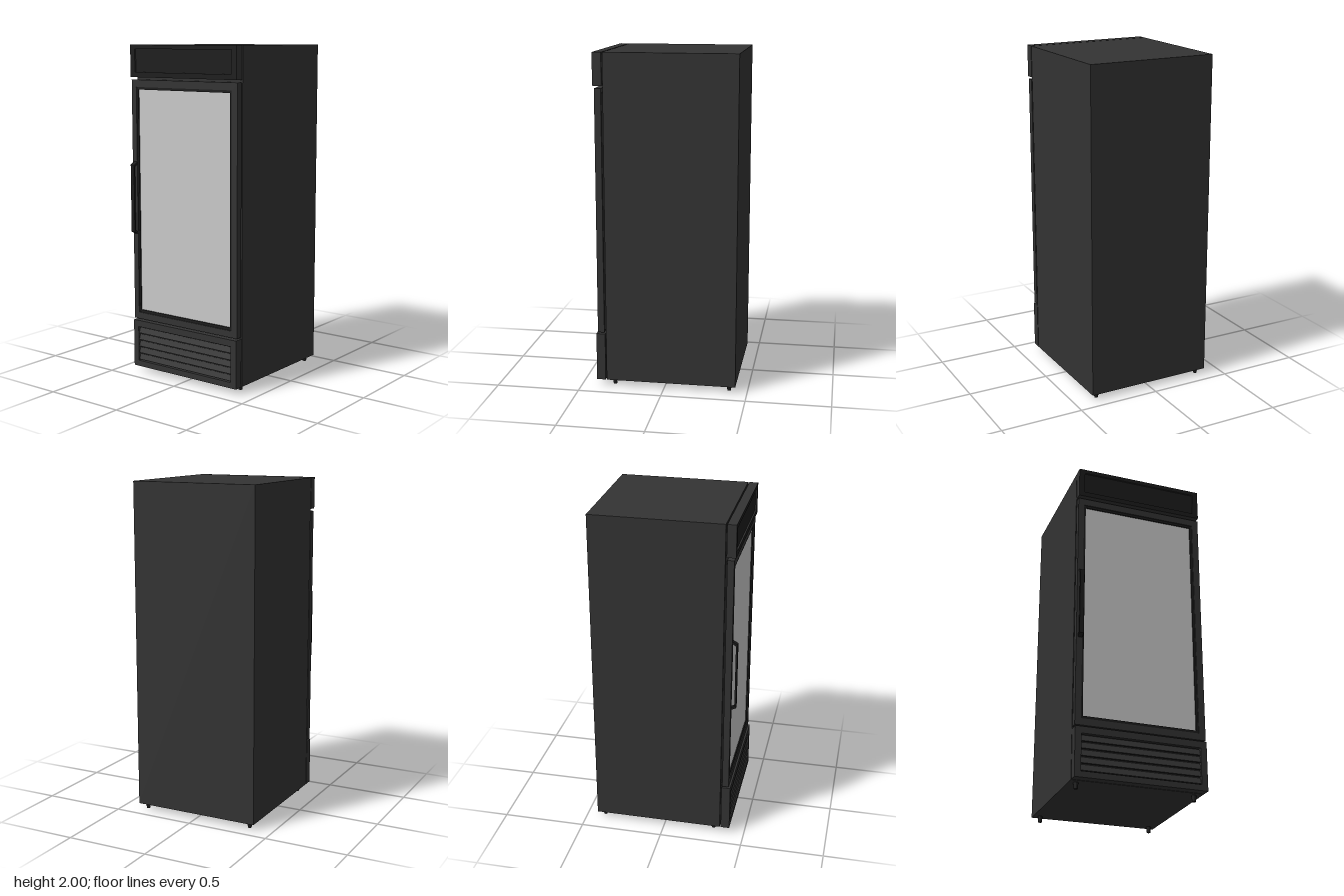
import * as THREE from 'three';

const mat = (name, color) => {
  const m = new THREE.MeshStandardMaterial({ color });
  m.name = name;
  return m;
};

export function createModel() {
  const body = mat('charcoal body', 0x333333);
  const trim = mat('black trim', 0x1c1c1c);
  const glass = mat('pale glass', 0xcacaca);
  const root = new THREE.Group();
  root.name = 'displayFridge';

  const add = (name, geometry, material, parent = root) => {
    const mesh = new THREE.Mesh(geometry, material);
    mesh.name = name;
    parent.add(mesh);
    return mesh;
  };
  // Box given by its limits on each axis
  const box = (name, [x0, x1], [y0, y1], [z0, z1], material, parent) => {
    const m = add(name, new THREE.BoxGeometry(x1 - x0, y1 - y0, z1 - z0), material, parent);
    m.position.set((x0 + x1) / 2, (y0 + y1) / 2, (z0 + z1) / 2);
    return m;
  };
  const rect = (P, [x0, x1], [y0, y1]) => {
    const p = new P();
    p.moveTo(x0, y0);
    p.lineTo(x1, y0);
    p.lineTo(x1, y1);
    p.lineTo(x0, y1);
    p.closePath();
    return p;
  };
  // Rectangular frame with an opening; materials are [faces, edges]
  const frame = (name, ox, oy, ix, iy, [z0, z1], materials, parent) => {
    const s = rect(THREE.Shape, ox, oy);
    s.holes.push(rect(THREE.Path, ix, iy));
    const g = new THREE.ExtrudeGeometry(s, { depth: z1 - z0, bevelEnabled: false });
    g.translate(0, 0, z0);
    return add(name, g, materials, parent);
  };

  const W = [-0.39, 0.39];

  // Cabinet and the inset strips that join the front parts to it
  box('cabinet', W, [0.035, 2], [-0.43, 0.35], body);
  box('headerJoint', [-0.38, 0.38], [1.82, 1.99], [0.35, 0.357], trim);
  box('doorGasket', [-0.38, 0.38], [0.35, 1.77], [0.35, 0.361], trim);
  box('grilleJoint', [-0.38, 0.38], [0.045, 0.315], [0.35, 0.357], trim);

  // Header with a shallow recessed panel
  const header = new THREE.Group();
  header.name = 'header';
  root.add(header);
  box('headerBack', W, [1.81, 2], [0.357, 0.395], body, header);
  frame('headerFrame', W, [1.81, 2], [-0.355, 0.355], [1.84, 1.975], [0.395, 0.41], [trim, body], header);
  box('headerPanel', [-0.355, 0.355], [1.84, 1.975], [0.395, 0.401], trim, header);

  // Door: slab, outer frame, dark inner bezel and glass
  const door = new THREE.Group();
  door.name = 'door';
  root.add(door);
  box('doorSlab', W, [0.335, 1.795], [0.361, 0.38], body, door);
  frame('doorFrame', W, [0.335, 1.795], [-0.355, 0.35], [0.375, 1.752], [0.38, 0.4], [body, body], door);
  frame('doorBezel', [-0.355, 0.35], [0.375, 1.752], [-0.343, 0.336], [0.392, 1.737], [0.38, 0.395], [trim, trim], door);
  box('doorGlass', [-0.343, 0.336], [0.392, 1.737], [0.38, 0.388], glass, door);

  // Handle: bent bar drawn in profile, extruded across x
  const h = new THREE.Shape();
  [[0.4, 0.865], [0.43, 0.88], [0.43, 1.288], [0.4, 1.305], [0.4, 1.29],
    [0.42, 1.278], [0.42, 0.89], [0.4, 0.88]].forEach(([z, y], i) => (i ? h.lineTo(-z, y) : h.moveTo(-z, y)));
  h.closePath();
  const handle = new THREE.ExtrudeGeometry(h, { depth: 0.026, bevelEnabled: false });
  handle.rotateY(Math.PI / 2);
  handle.translate(-0.381, 0, 0);
  add('doorHandle', handle, trim, door);

  // Lower panel with louvres
  const grille = new THREE.Group();
  grille.name = 'grille';
  root.add(grille);
  box('grilleBack', W, [0.035, 0.325], [0.357, 0.385], body, grille);
  frame('grilleFrame', W, [0.035, 0.325], [-0.353, 0.353], [0.07, 0.285], [0.385, 0.41], [body, body], grille);
  box('grilleRecess', [-0.353, 0.353], [0.07, 0.285], [0.385, 0.388], trim, grille);
  for (let i = 0; i < 5; i++) {
    const y = 0.092 + i * 0.042;
    const slat = box('louvre', [-0.353, 0.353], [y - 0.017, y + 0.017], [0.393, 0.399], body, grille);
    slat.rotation.x = -0.3;
  }

  // Four small tapered feet
  for (const x of [-0.348, 0.348]) {
    for (const z of [0.306, -0.39]) {
      const foot = add('foot', new THREE.CylinderGeometry(0.015, 0.011, 0.036, 12), trim);
      foot.position.set(x, 0.018, z);
    }
  }
  return root;
}
